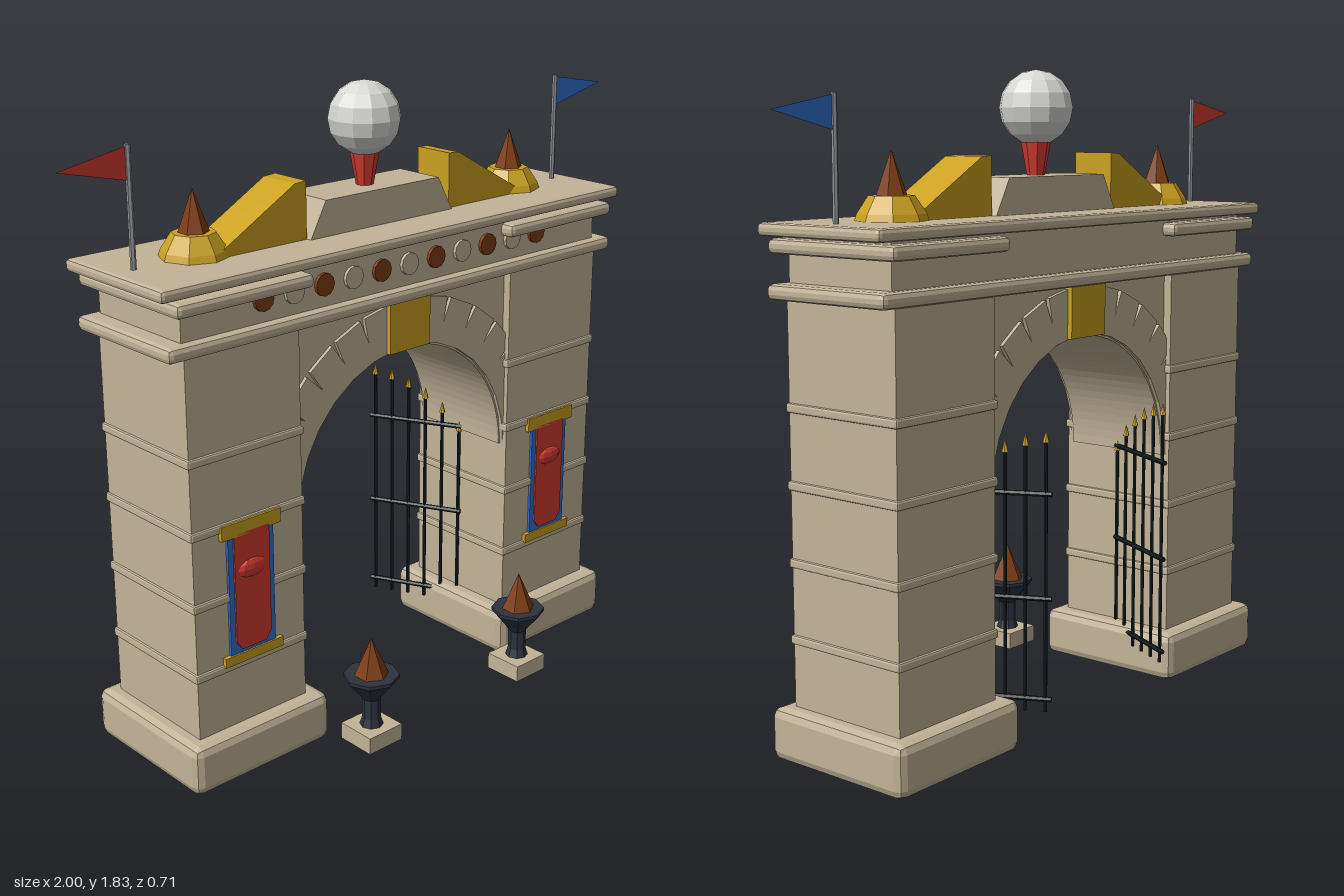
import * as THREE from 'three';
import { RoundedBoxGeometry } from 'three/addons/geometries/RoundedBoxGeometry.js';

const material = (name, color, extra = {}) => {
  const m = new THREE.MeshStandardMaterial({ color, flatShading: true, ...extra });
  m.name = name;
  return m;
};

export function createModel() {
  const stone = material('stone', 0xc2b499);
  const gold = material('gold', 0xcaa120);
  const red = material('red', 0xd23a2e, { side: THREE.DoubleSide });
  const blue = material('blue', 0x2f6fd0, { side: THREE.DoubleSide });
  const brown = material('flameBrown', 0x7d3c10);
  const iron = material('iron', 0x2c323e);
  const bars = material('gateIron', 0x141d1f);
  const pearl = material('pearl', 0xd6d6d2);
  const steel = material('steel', 0x8f9396);

  const model = new THREE.Group();
  const ZC = -0.08; // middle of the wall

  const add = (parent, name, geometry, mat, x = 0, y = 0, z = 0) => {
    const mesh = new THREE.Mesh(geometry, mat);
    mesh.name = name;
    mesh.position.set(x, y, z);
    parent.add(mesh);
    return mesh;
  };
  const box = (parent, name, mat, w, h, d, x, y, z) =>
    add(parent, name, new THREE.BoxGeometry(w, h, d), mat, x, y, z);
  const softBox = (parent, name, mat, w, h, d, r, x, y, z) =>
    add(parent, name, new RoundedBoxGeometry(w, h, d, 1, r), mat, x, y, z);
  // tapered round part standing on y
  const round = (parent, name, mat, rTop, rBottom, h, sides, x, y, z) =>
    add(parent, name, new THREE.CylinderGeometry(rTop, rBottom, h, sides), mat, x, y + h / 2, z);
  const polygon = (points) => new THREE.Shape(points.map(([x, y]) => new THREE.Vector2(x, y)));
  const slab = (parent, name, mat, shape, depth, z) =>
    add(parent, name, new THREE.ExtrudeGeometry(shape, { depth, bevelEnabled: false, curveSegments: 24 }),
      mat, 0, 0, z - depth / 2);
  const rod = (parent, name, mat, a, b, r) => {
    const mesh = add(parent, name, new THREE.CylinderGeometry(r, r, a.distanceTo(b), 6), mat);
    mesh.position.copy(a).add(b).multiplyScalar(0.5);
    mesh.quaternion.setFromUnitVectors(new THREE.Vector3(0, 1, 0), b.clone().sub(a).normalize());
    return mesh;
  };

  for (const s of [-1, 1]) {
    const side = new THREE.Group();
    side.name = s > 0 ? 'leftSide' : 'rightSide';
    model.add(side);

    // tower with plinth and courses
    softBox(side, 'plinth', stone, 0.475, 0.145, 0.475, 0.025, s * 0.593, 0.0725, ZC);
    box(side, 'tower', stone, 0.375, 1.12, 0.38, s * 0.595, 0.69, ZC);
    for (const y of [0.33, 0.538, 0.746, 0.952])
      softBox(side, 'course', stone, 0.389, 0.026, 0.394, 0.006, s * 0.595, y, ZC);
    softBox(side, 'capital', stone, 0.445, 0.04, 0.445, 0.014, s * 0.597, 1.371, ZC);

    // banner
    const bx = s * 0.595;
    box(side, 'bannerCloth', blue, 0.155, 0.36, 0.008, bx, 0.54, 0.114);
    slab(side, 'bannerField', red, polygon([
      [bx - 0.06, 0.72], [bx - 0.06, 0.4], [bx - 0.04, 0.375],
      [bx + 0.04, 0.375], [bx + 0.06, 0.4], [bx + 0.06, 0.72]]), 0.006, 0.12);
    add(side, 'bannerBoss', new THREE.SphereGeometry(1, 8, 6), red, bx, 0.61, 0.122).scale.set(0.05, 0.028, 0.012);
    box(side, 'bannerTopRod', gold, 0.2, 0.042, 0.014, bx, 0.733, 0.116);
    box(side, 'bannerBottomRod', gold, 0.2, 0.028, 0.014, bx, 0.35, 0.116);

    // roof finial and wedge
    round(side, 'finialBase', gold, 0.09, 0.097, 0.02, 8, s * 0.595, 1.432, -0.085);
    round(side, 'finialCollar', gold, 0.06, 0.09, 0.046, 8, s * 0.595, 1.452, -0.085);
    round(side, 'finialSpike', brown, 0, 0.045, 0.125, 6, s * 0.595, 1.49, -0.085);
    slab(side, 'roofWedge', gold, polygon([
      [s * 0.27, 1.43], [s * 0.56, 1.43], [s * 0.56, 1.45], [s * 0.31, 1.592], [s * 0.27, 1.595]]), 0.13, ZC);

    // flag
    round(side, 'flagPole', steel, 0.008, 0.008, 0.325, 6, s * 0.79, 1.43, ZC);
    add(side, 'flag', new THREE.ShapeGeometry(polygon([
      [s * 0.795, 1.75], [s * 0.795, 1.663], [s, 1.712]])), s > 0 ? blue : red, 0, 0, ZC);

    // brazier
    const px = s * 0.302, pz = 0.275;
    box(side, 'brazierFoot', stone, 0.122, 0.05, 0.122, px, 0.05, pz);
    const bowl = [[0, 0.075], [0.034, 0.075], [0.027, 0.1], [0.027, 0.16], [0.042, 0.18], [0.08, 0.225], [0.08, 0.235], [0, 0.235]];
    add(side, 'brazier', new THREE.LatheGeometry(bowl.map(([r, y]) => new THREE.Vector2(r, y)), 8), iron, px, 0, pz);
    round(side, 'brazierFlame', brown, 0, 0.052, 0.118, 6, px, 0.23, pz);

    // open gate leaf
    const gate = new THREE.Group();
    gate.name = 'gate';
    side.add(gate);
    const at = (t, y) => new THREE.Vector3(s * (0.4 - 0.125 * t), y, -0.085 - 0.252 * t);
    [0.72, 0.775, 0.815, 0.845, 0.865, 0.875].forEach((top, i) => {
      const t = i / 5;
      rod(gate, 'gateBar', bars, at(t, 0.09), at(t, top - 0.03), 0.0055);
      const p = at(t, top);
      round(gate, 'gateTip', gold, 0, 0.01, 0.036, 6, p.x, top - 0.036, p.z);
    });
    for (const y of [0.125, 0.408, 0.698]) rod(gate, 'gateRail', bars, at(-0.03, y), at(1.06, y), 0.0075);
  }

  // arch wall: opening centred at AY with radius AR
  const AY = 0.69, AR = 0.4;
  const wall = new THREE.Shape();
  wall.moveTo(0.42, AY);
  wall.lineTo(0.42, 1.25);
  wall.lineTo(-0.42, 1.25);
  wall.lineTo(-0.42, AY);
  wall.lineTo(-AR, AY);
  wall.absarc(0, AY, AR, Math.PI, 0, true);
  slab(model, 'archWall', stone, wall, 0.33, ZC);

  // arch stones, fanned around the opening
  for (let i = -7; i <= 7; i++) {
    if (i === 0) continue;
    const a = THREE.MathUtils.degToRad(i * 12);
    const block = box(model, 'archStone', stone, 0.098, 0.137, 0.352,
      Math.sin(a) * 0.4735, AY + Math.cos(a) * 0.4735, ZC);
    block.rotation.z = -a;
  }
  box(model, 'keystone', gold, 0.155, 0.145, 0.38, 0, 1.163, ZC);

  // entablature
  softBox(model, 'lowerCornice', stone, 1.68, 0.042, 0.415, 0.015, 0, 1.256, ZC);
  box(model, 'frieze', stone, 1.565, 0.14, 0.36, 0, 1.338, ZC);
  softBox(model, 'upperCornice', stone, 1.72, 0.035, 0.43, 0.012, 0, 1.416, ZC);
  for (let i = -5; i <= 5; i++)
    add(model, 'friezeDisc', new THREE.CylinderGeometry(0.032, 0.032, 0.012, 12),
      i % 2 ? brown : stone, i * 0.104, 1.34, 0.104).rotation.x = Math.PI / 2;

  // attic block with globe
  slab(model, 'attic', stone, polygon([[-0.27, 1.43], [0.27, 1.43], [0.213, 1.535], [-0.213, 1.535]]), 0.16, ZC);
  round(model, 'globeNeck', red, 0.044, 0.025, 0.105, 8, 0, 1.533, ZC);
  add(model, 'globe', new THREE.SphereGeometry(0.105, 12, 8), pearl, 0, 1.723, ZC);

  return model;
}
